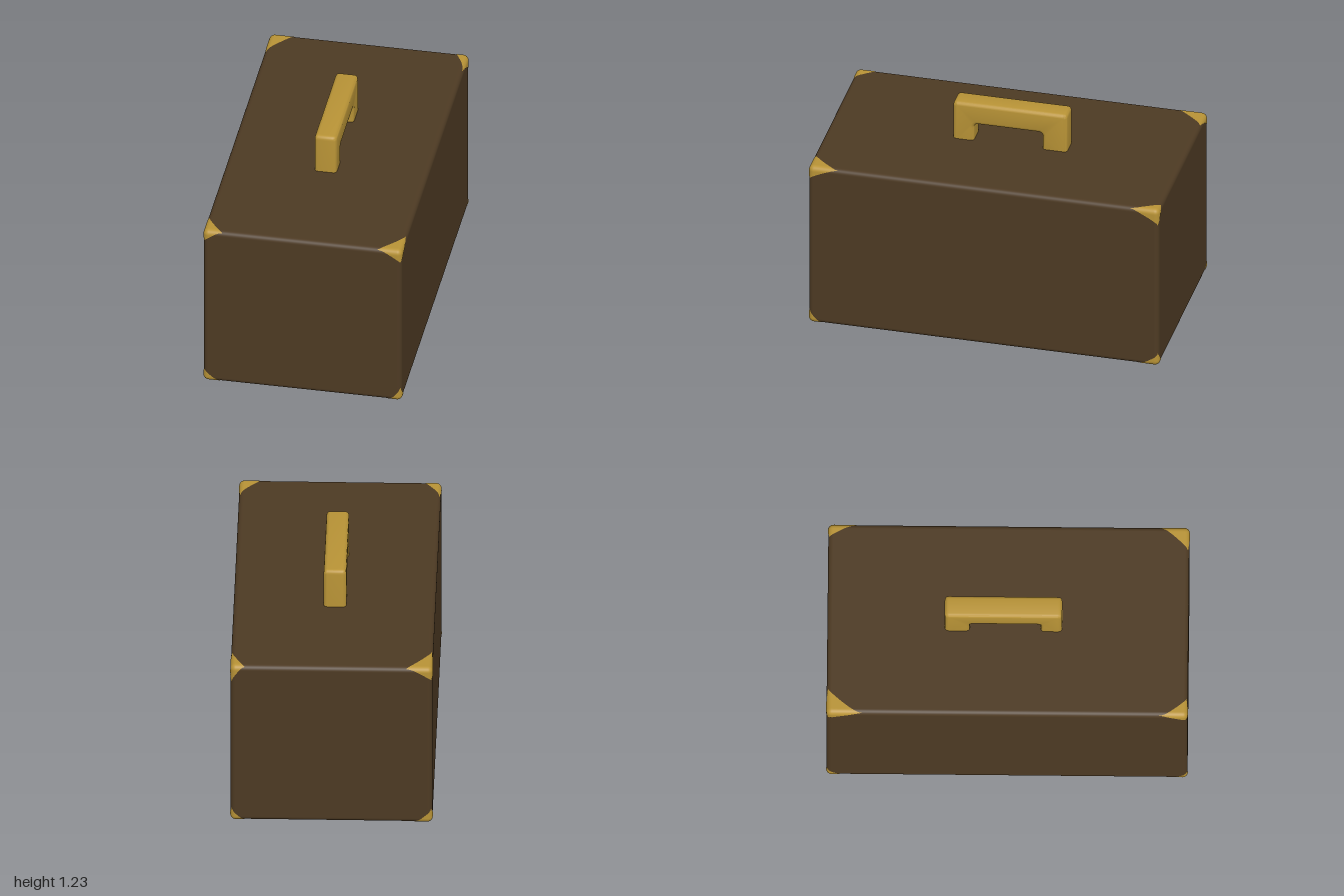
import * as THREE from 'three';
import { toCreasedNormals } from 'three/addons/utils/BufferGeometryUtils.js';
import { RoundedBoxGeometry } from 'three/addons/geometries/RoundedBoxGeometry.js';

const HALF = [0.56, 0.5, 1]; // half size of the case
const RADIUS = 0.03;         // rounding of its edges
const SKIN = 0.002;          // thickness of the corner guards

// Corner guard: three curved-edge patches wrapped over one rounded corner.
// sign gives the corner, reach the guard's length along each axis.
function cornerGeometry(sign, reach) {
  const N = 14, pos = [], nor = [], idx = [];
  for (let k = 0; k < 3; k++) {
    const u = (k + 1) % 3, v = (k + 2) % 3, base = pos.length / 3;
    for (let i = 0; i <= N; i++) {
      for (let j = 0; j <= N; j++) {
        const s = (i / N) ** 1.5, t = (j / N) ** 1.5;
        const inset = [0, 0, 0];
        inset[u] = reach[u] * s;
        inset[v] = reach[v] * (1 - s) ** 1.3 * t;
        // push the point on the sharp box onto the rounded surface
        const core = inset.map((d, a) => Math.min(HALF[a] - d, HALF[a] - RADIUS));
        const n = new THREE.Vector3(...inset.map((d, a) => (HALF[a] - d - core[a]) * sign[a])).normalize();
        const dir = n.toArray();
        pos.push(...core.map((c, a) => c * sign[a] + dir[a] * RADIUS));
        nor.push(...dir);
      }
    }
    const flip = sign[0] * sign[1] * sign[2] < 0;
    for (let i = 0; i < N; i++) {
      for (let j = 0; j < N; j++) {
        const a = base + i * (N + 1) + j, b = a + N + 1, c = b + 1, d = a + 1;
        idx.push(...(flip ? [a, c, b, a, d, c] : [a, b, c, a, c, d]));
      }
    }
  }
  const g = new THREE.BufferGeometry();
  g.setAttribute('position', new THREE.Float32BufferAttribute(pos, 3));
  g.setAttribute('normal', new THREE.Float32BufferAttribute(nor, 3));
  g.setIndex(idx);
  return g;
}

// Arched handle: side profile in z and y, extruded across x
function handleGeometry() {
  const s = new THREE.Shape();
  s.moveTo(-0.35, 0.97);
  s.lineTo(-0.21, 0.97);
  s.lineTo(-0.21, 1.075);
  s.quadraticCurveTo(-0.21, 1.1, -0.185, 1.1);
  s.lineTo(0.155, 1.1);
  s.quadraticCurveTo(0.18, 1.1, 0.18, 1.075);
  s.lineTo(0.18, 0.97);
  s.lineTo(0.3, 0.97);
  s.lineTo(0.3, 1.205);
  s.quadraticCurveTo(0.3, 1.23, 0.275, 1.23);
  s.lineTo(-0.325, 1.23);
  s.quadraticCurveTo(-0.35, 1.23, -0.35, 1.205);
  s.closePath();
  const bevel = 0.02, width = 0.125;
  const g = new THREE.ExtrudeGeometry(s, {
    depth: width - 2 * bevel, bevelThickness: bevel, bevelSize: bevel,
    bevelOffset: -bevel, bevelSegments: 3, curveSegments: 5,
  });
  g.translate(0, 0, bevel - width / 2);
  g.rotateY(-Math.PI / 2);
  return toCreasedNormals(g, 0.7);
}

export function createModel() {
  const leather = new THREE.MeshStandardMaterial({ color: 0x4d3a23 });
  leather.name = 'dark brown leather';
  const brass = new THREE.MeshStandardMaterial({ color: 0xb89336 });
  brass.name = 'brass';

  const model = new THREE.Group();
  model.name = 'case';
  const add = (name, geometry, material, x = 0, y = 0) => {
    const mesh = new THREE.Mesh(geometry, material);
    mesh.name = name;
    mesh.position.set(x, y, 0);
    model.add(mesh);
  };

  // Main body
  const size = HALF.map(h => 2 * (h - SKIN));
  add('body', new RoundedBoxGeometry(...size, 5, RADIUS - SKIN), leather, 0, HALF[1]);

  // Corner guards: [corner signs, reach along x, y, z]
  const corners = [
    [[1, 1, 1], [0.14, 0.08, 0.17]],
    [[-1, 1, 1], [0.11, 0.07, 0.16]],
    [[1, 1, -1], [0.08, 0.10, 0.17]],
    [[-1, 1, -1], [0.15, 0.08, 0.20]],
    [[1, -1, 1], [0.08, 0.09, 0.08]],
    [[-1, -1, 1], [0.11, 0.08, 0.12]],
    [[1, -1, -1], [0.09, 0.08, 0.12]],
    [[-1, -1, -1], [0.11, 0.09, 0.12]],
  ];
  for (const [sign, reach] of corners) {
    const name = (sign[1] > 0 ? 'top' : 'bottom') + (sign[2] > 0 ? 'Front' : 'Back')
      + (sign[0] > 0 ? 'Left' : 'Right') + 'CornerGuard';
    add(name, cornerGeometry(sign, reach), brass, 0, HALF[1]);
  }

  // Carrying handle
  add('handle', handleGeometry(), brass, -0.003);
  return model;
}
